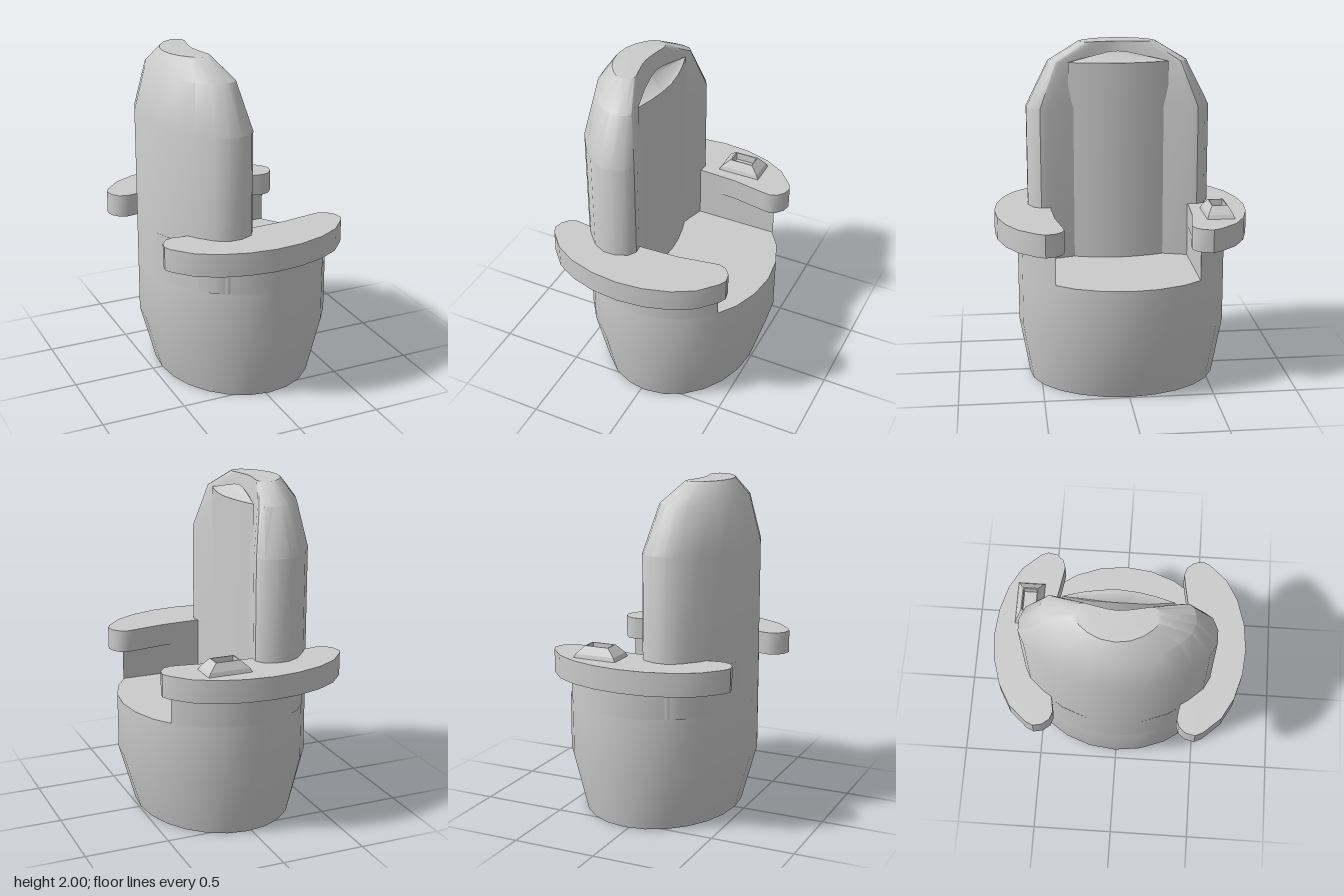
import * as THREE from 'three';
import { toCreasedNormals } from 'three/addons/utils/BufferGeometryUtils.js';

const material = new THREE.MeshStandardMaterial({ color: 0xcccccc });

// Skin a stack of closed cross-sections (arrays of Vector3) and cap both ends.
function loft(rings, crease = 0.6) {
  const flat = (r) => r.map((p) => new THREE.Vector2(p.x, p.z));
  if (THREE.ShapeUtils.area(flat(rings[0])) > 0) rings = rings.map((r) => [...r].reverse());
  const pos = [];
  const tri = (a, b, c) => [a, b, c].forEach((p) => pos.push(p.x, p.y, p.z));
  const cap = (ring, up) => {
    for (const face of THREE.ShapeUtils.triangulateShape(flat(ring), [])) {
      const [a, b, c] = face.map((i) => ring[i]);
      const facesUp = (b.z - a.z) * (c.x - a.x) - (b.x - a.x) * (c.z - a.z) > 0;
      if (facesUp === up) tri(a, b, c);
      else tri(a, c, b);
    }
  };
  for (let k = 0; k < rings.length - 1; k++) {
    const lo = rings[k], hi = rings[k + 1];
    lo.forEach((a, i) => {
      const j = (i + 1) % lo.length;
      tri(a, lo[j], hi[j]);
      tri(a, hi[j], hi[i]);
    });
  }
  cap(rings[0], false);
  cap(rings[rings.length - 1], true);
  const geo = new THREE.BufferGeometry();
  geo.setAttribute('position', new THREE.Float32BufferAttribute(pos, 3));
  return toCreasedNormals(geo, crease);
}

const ringAt = (pts, y) => pts.map(([x, z]) => new THREE.Vector3(x, y, z));

// Complete a half outline that starts and ends on z = 0.
const mirrorZ = (half) => [...half, ...half.slice(1, -1).reverse().map(([x, z, y]) => [x, -z, y])];

const ellipse = (cx, rx, rz, n = 24) => Array.from({ length: n }, (_, i) => {
  const a = (i / n) * Math.PI * 2;
  return [cx + rx * Math.cos(a), rz * Math.sin(a)];
});

const rect = (x0, x1, z0, z1) => [[x0, z0], [x1, z0], [x1, z1], [x0, z1]];

export function createModel() {
  const group = new THREE.Group();
  const add = (name, geometry) => {
    const mesh = new THREE.Mesh(geometry, material);
    mesh.name = name;
    group.add(mesh);
    return mesh;
  };

  // Tapered oval base, whose top is the seat
  add('base', loft([
    ringAt(ellipse(0.025, 0.465, 0.565), 0),
    ringAt(ellipse(0.027, 0.563, 0.625), 0.35),
    ringAt(ellipse(0.027, 0.563, 0.625), 0.69),
  ]));

  // Walls round the seat, open to the front
  const wall = [];
  const end = Math.asin(0.42 / 0.625);
  for (let a = Math.PI; a > end + 0.01; a -= Math.PI / 12) {
    wall.push([0.027 + 0.563 * Math.cos(a), a === Math.PI ? 0 : 0.625 * Math.sin(a)]);
  }
  wall.push([0.027 + 0.563 * Math.cos(end), 0.42], [-0.2, 0.42], [-0.2, 0]);
  const wallRing = mirrorZ(wall);
  add('seatWall', loft([ringAt(wallRing, 0.69), ringAt(wallRing, 0.97)]));

  // Crescent back shell, narrowing in two steps at the top
  const full = mirrorZ([[-0.537, 0], [-0.517, 0.16], [-0.46, 0.31], [-0.385, 0.425], [-0.305, 0.515],
    [-0.23, 0.553], [-0.155, 0.553], [-0.085, 0.522], [-0.055, 0.475], [-0.06, 0.43],
    [-0.1, 0.3], [-0.13, 0.17], [-0.165, 0.07], [-0.17, 0]]);
  const shoulder = mirrorZ([[-0.475, 0], [-0.457, 0.13], [-0.41, 0.25], [-0.345, 0.34], [-0.285, 0.395],
    [-0.23, 0.418], [-0.18, 0.418], [-0.135, 0.403], [-0.115, 0.375], [-0.118, 0.345],
    [-0.145, 0.26], [-0.175, 0.16], [-0.195, 0.07], [-0.2, 0]]);
  const crown = mirrorZ([[-0.397, 0], [-0.385, 0.08], [-0.355, 0.145], [-0.315, 0.195], [-0.28, 0.222],
    [-0.25, 0.233], [-0.225, 0.23], [-0.203, 0.215], [-0.192, 0.195], [-0.19, 0.175],
    [-0.2, 0.13], [-0.21, 0.08], [-0.217, 0.04], [-0.22, 0]]);
  add('backShell', loft([
    ringAt(full, 0.69), ringAt(full, 1.62), ringAt(shoulder, 1.89), ringAt(crown, 2),
  ]));

  // Bowed back cushion with a top that rises towards the shell
  const pad = mirrorZ([[-0.158, 0, 1.95], [-0.155, 0.06, 1.945], [-0.145, 0.16, 1.922], [-0.115, 0.302, 1.89],
    [-0.085, 0.2, 1.89], [-0.066, 0.1, 1.89], [-0.058, 0, 1.89]]);
  add('backCushion', loft([
    ringAt(pad, 0.69), pad.map(([x, z, y]) => new THREE.Vector3(x, y, z)),
  ]));

  // Curved armrests, each outline mirrored about its own middle
  const armHalf = [[0, 0.76], [0.16, 0.745], [0.315, 0.7], [0.44, 0.63], [0.535, 0.525], [0.556, 0.48],
    [0.545, 0.425], [0.51, 0.383], [0.465, 0.368], [0.425, 0.373], [0.22, 0.408], [0, 0.42]];
  const arm = [...armHalf, ...armHalf.slice(1, -1).reverse().map(([x, z]) => [-x, z])];
  for (const [name, side] of [['leftSideArmrest', 1], ['rightSideArmrest', -1]]) {
    const outline = arm.map(([x, z]) => [x - 0.04, z * side]);
    add(name, loft([ringAt(outline, 0.88), ringAt(outline, 1.017)]));
  }

  // Small control box with a sunken top on one armrest
  add('controlBox', loft([
    ringAt(rect(0.035, 0.307, -0.645, -0.477), 1.01),
    ringAt(rect(0.05, 0.29, -0.636, -0.487), 1.04),
    ringAt(rect(0.098, 0.245, -0.608, -0.515), 1.086),
    ringAt(rect(0.105, 0.239, -0.602, -0.521), 1.086),
    ringAt(rect(0.107, 0.237, -0.6, -0.523), 1.04),
  ], 0.1));

  return group;
}
